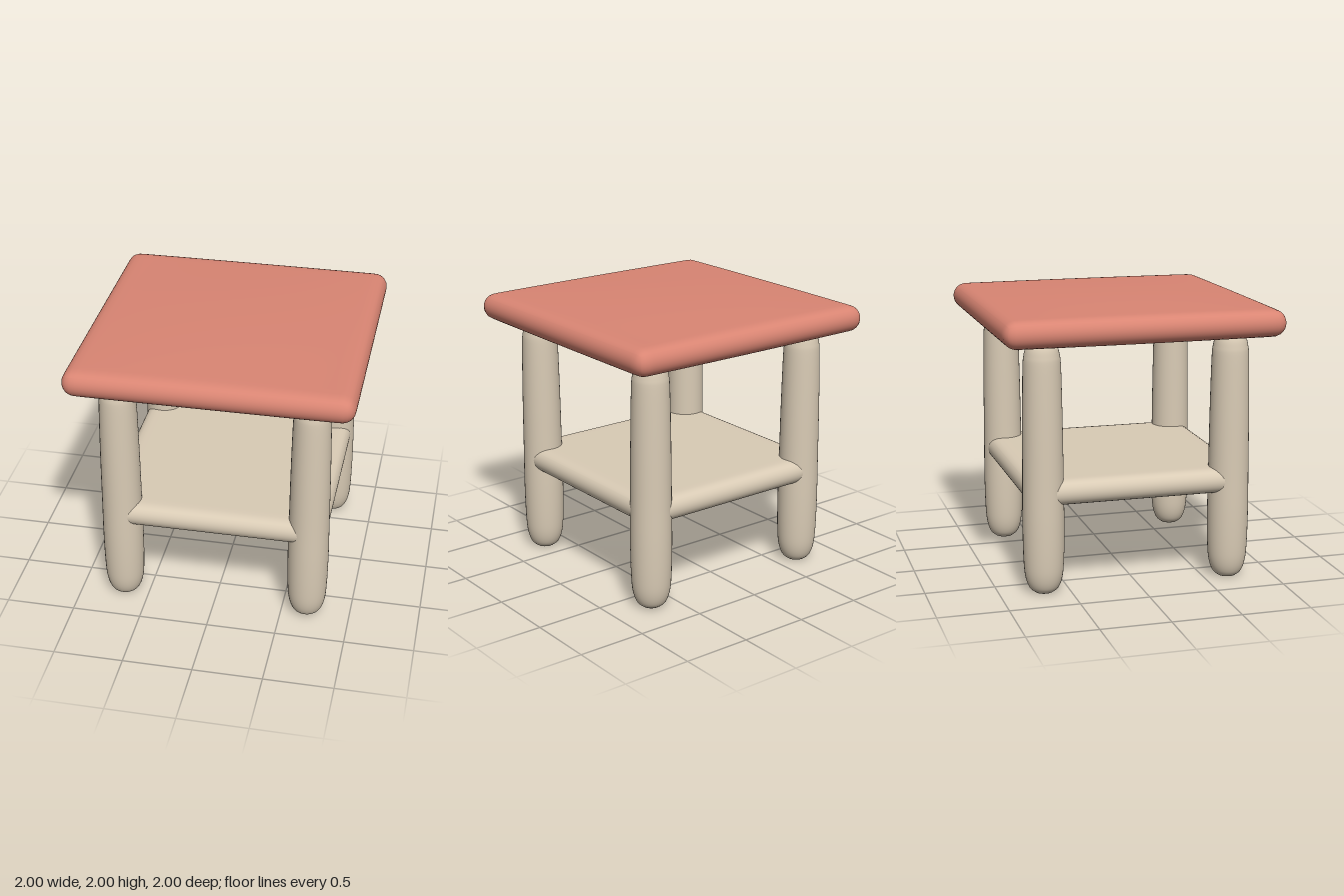
import * as THREE from 'three';
import { mergeVertices } from 'three/addons/utils/BufferGeometryUtils.js';

// Square slab with fully rounded rim; dome swells the middle of both faces
function slab(half, r, dome) {
  const geo = new THREE.BoxGeometry(2, 2, 2, 32, 10, 32);
  geo.deleteAttribute('uv');
  geo.deleteAttribute('normal');
  const pos = geo.attributes.position;
  const inner = half - r;
  const p = new THREE.Vector3(), core = new THREE.Vector3();
  // Crowd the divisions toward the rim, where the curvature is
  const ease = (t) => Math.sin(t * Math.PI / 2);
  for (let i = 0; i < pos.count; i++) {
    p.fromBufferAttribute(pos, i);
    p.set(half * ease(p.x), r * p.y, half * ease(p.z));
    core.set(THREE.MathUtils.clamp(p.x, -inner, inner), 0, THREE.MathUtils.clamp(p.z, -inner, inner));
    p.sub(core).setLength(r).add(core);
    const u = p.x / half, w = p.z / half;
    p.y *= 1 + (dome / r) * (1 - u * u) * (1 - w * w);
    pos.setXYZ(i, p.x, p.y, p.z);
  }
  const merged = mergeVertices(geo, 1e-5);
  merged.computeVertexNormals();
  return merged;
}

export function createModel() {
  const model = new THREE.Group();
  model.name = 'stool';

  const red = new THREE.MeshStandardMaterial({ color: 0xd98573 });
  red.name = 'coral red';
  const wood = new THREE.MeshStandardMaterial({ color: 0xd9cbb5 });
  wood.name = 'pale wood';

  const add = (name, geo, mat, x, y, z) => {
    const mesh = new THREE.Mesh(geo, mat);
    mesh.name = name;
    mesh.position.set(x, y, z);
    model.add(mesh);
  };

  // Seat and lower shelf
  add('seat', slab(1, 0.095, 0.025), red, 0, 1.88, 0);
  add('shelf', slab(0.81, 0.09, 0), wood, 0, 0.73, 0);

  // Legs: softly tapered posts with rounded ends
  const side = new THREE.SplineCurve([
    [0.065, 0.004], [0.105, 0.04], [0.132, 0.12], [0.143, 0.25], [0.147, 0.5],
    [0.144, 0.8], [0.14, 1.2], [0.132, 1.6], [0.123, 1.7], [0.105, 1.76], [0.075, 1.785],
  ].map(([r, y]) => new THREE.Vector2(r, y))).getPoints(50);
  const profile = [new THREE.Vector2(0, 0), ...side, new THREE.Vector2(0, 1.785)];
  const legGeo = new THREE.LatheGeometry(profile, 36);
  for (const sx of [-1, 1]) {
    for (const sz of [-1, 1]) {
      const name = (sz > 0 ? 'front' : 'back') + (sx > 0 ? 'Left' : 'Right') + 'Leg';
      add(name, legGeo, wood, sx * 0.682, 0, sz * 0.682);
    }
  }
  return model;
}
